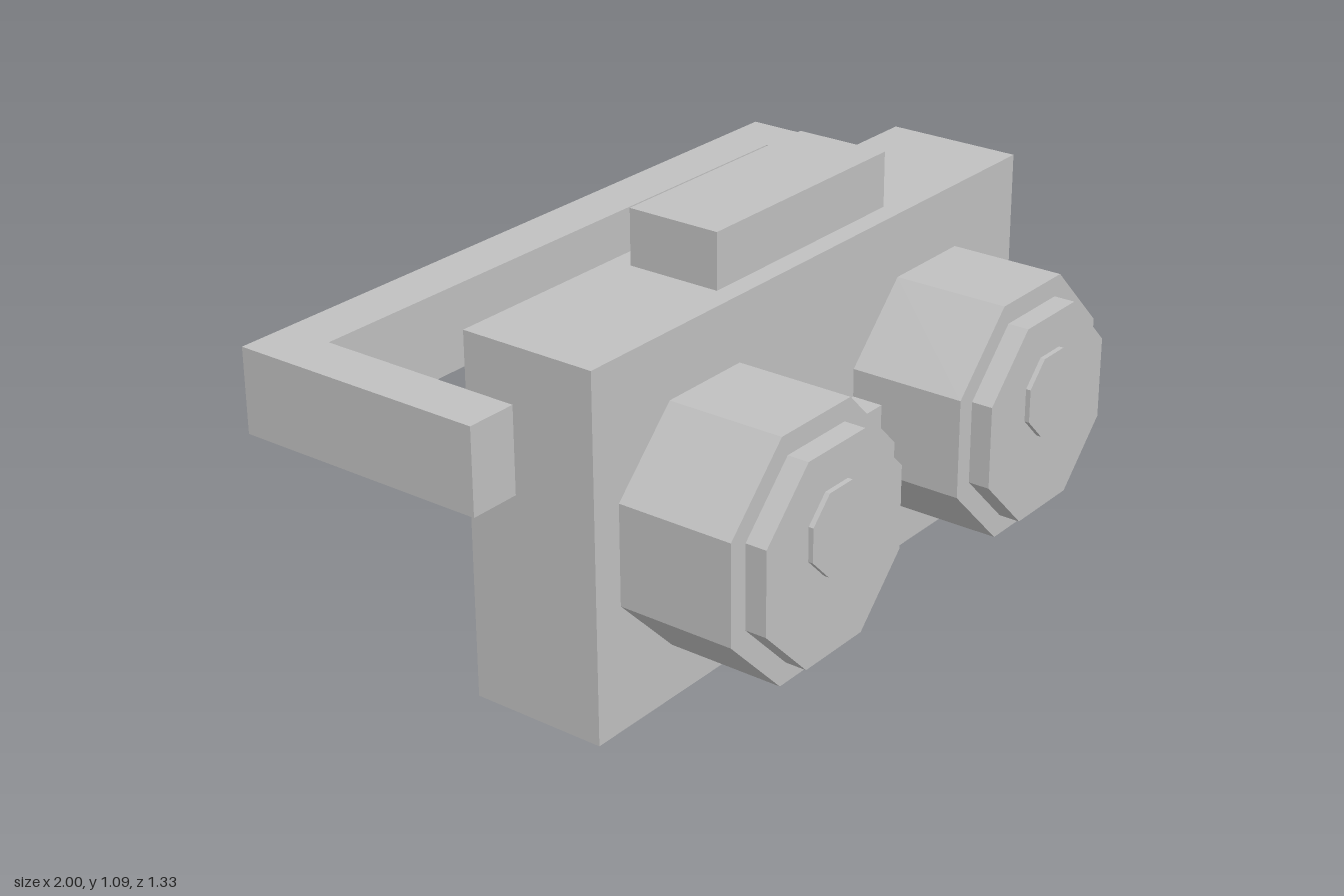
import * as THREE from 'three';

export function createModel() {
  const model = new THREE.Group();
  model.name = 'goggles';
  const grey = new THREE.MeshStandardMaterial({ color: 0xc0c0c0, flatShading: true });
  grey.name = 'grey';

  // Box given by its lower and upper corners
  function box(name, [x0, y0, z0], [x1, y1, z1]) {
    const geo = new THREE.BoxGeometry(x1 - x0, y1 - y0, z1 - z0);
    const mesh = new THREE.Mesh(geo, grey);
    mesh.position.set((x0 + x1) / 2, (y0 + y1) / 2, (z0 + z1) / 2);
    mesh.name = name;
    model.add(mesh);
  }

  // Octagonal prism along z, with flat sides facing up, down, left and right
  function octagon(name, x, y, halfWidth, z0, z1) {
    const r = halfWidth / Math.cos(Math.PI / 8);
    const geo = new THREE.CylinderGeometry(r, r, z1 - z0, 8, 1, false, Math.PI / 8);
    geo.rotateX(Math.PI / 2);
    const mesh = new THREE.Mesh(geo, grey);
    mesh.position.set(x, y, (z0 + z1) / 2);
    mesh.name = name;
    model.add(mesh);
  }

  // Main housing, top block and nose piece
  box('housing', [-0.86, 0, -0.09], [0.86, 0.945, 0.28]);
  box('topBlock', [-0.34, 0.945, -0.032], [0.34, 1.09, 0.224]);
  box('nosePiece', [-0.17, 0, 0.28], [0.17, 0.515, 0.365]);

  // U-shaped head strap, open towards the front
  const strapShape = new THREE.Shape([
    [-1, -0.05], [-0.86, -0.05], [-0.86, 0.52], [0.86, 0.52],
    [0.86, -0.05], [1, -0.05], [1, 0.663], [-1, 0.663],
  ].map(([x, y]) => new THREE.Vector2(x, y)));
  const strapGeo = new THREE.ExtrudeGeometry(strapShape, { depth: 0.225, bevelEnabled: false });
  strapGeo.rotateX(-Math.PI / 2);
  const strap = new THREE.Mesh(strapGeo, grey);
  strap.position.y = 0.575;
  strap.name = 'headStrap';
  model.add(strap);

  // Stepped eyepieces
  for (const [side, s] of [['left', 1], ['right', -1]]) {
    octagon(side + 'Barrel', s * 0.458, 0.459, 0.316, 0.28, 0.593);
    octagon(side + 'Lens', s * 0.458, 0.459, 0.263, 0.593, 0.65);
    octagon(side + 'Pupil', s * 0.458, 0.517, 0.106, 0.65, 0.663);
  }
  return model;
}
